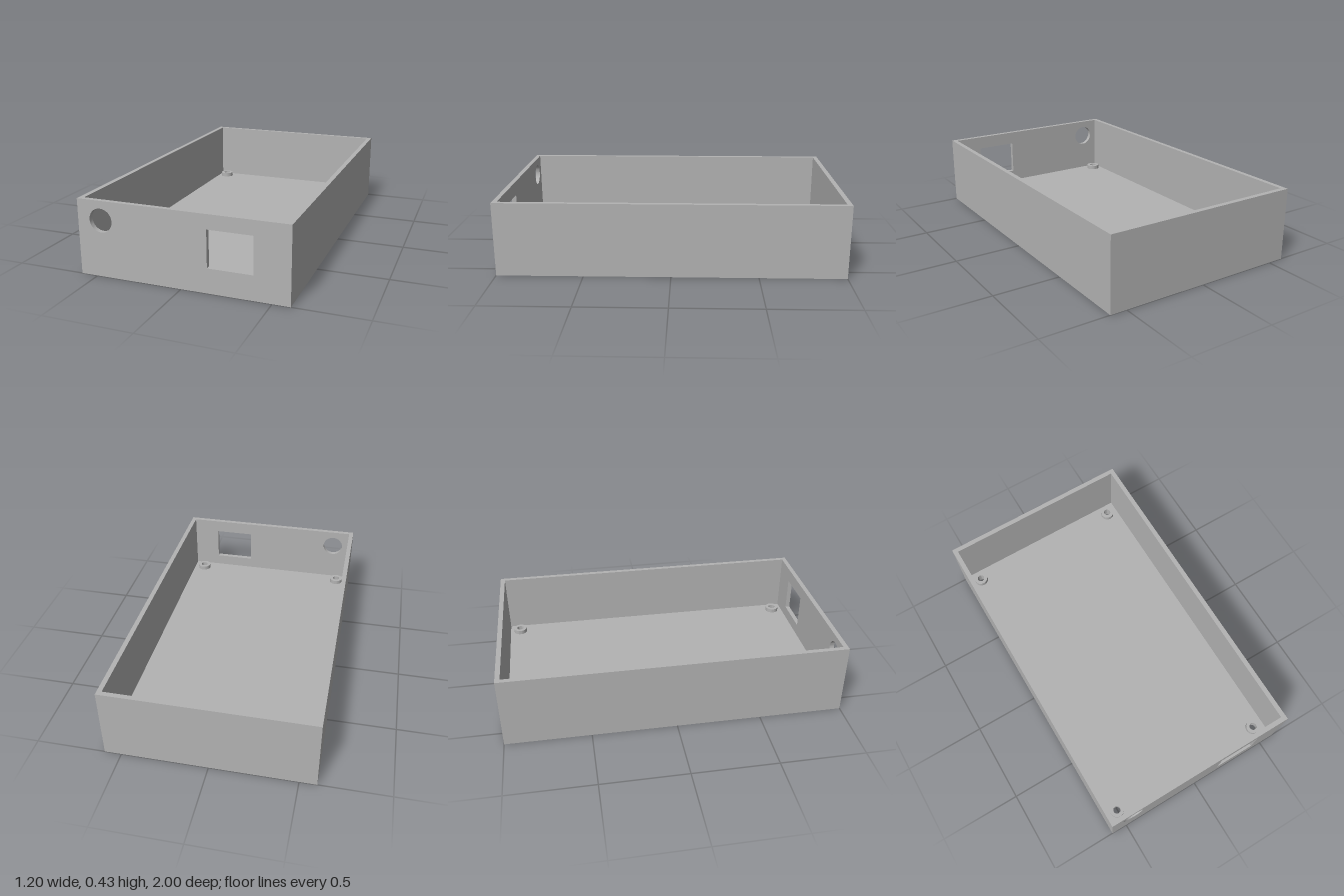
import * as THREE from 'three';
import { toCreasedNormals } from 'three/addons/utils/BufferGeometryUtils.js';

const W = 0.598, D = 1, H = 0.432;   // half width, half depth, height
const WALL = 0.028, FLOOR = 0.068;   // wall and floor thickness
const BORE = 0.037;                  // screw head recess radius
const SCREWS = [[-0.508, -0.905], [0.498, -0.905], [-0.508, 0.902], [0.498, 0.902]];

function polygon(points) {
  return new THREE.Shape(points.map(([x, y]) => new THREE.Vector2(x, y)));
}

function rect(x0, y0, x1, y1) {
  return polygon([[x0, y0], [x1, y0], [x1, y1], [x0, y1]]);
}

function circle(x, y, r) {
  return new THREE.Path().absarc(x, y, r, 0, Math.PI * 2, true);
}

function extrude(shape, depth) {
  const g = new THREE.ExtrudeGeometry(shape, { depth, bevelEnabled: false, curveSegments: 24 });
  return toCreasedNormals(g, 0.6);
}

export function createModel() {
  const group = new THREE.Group();
  const grey = new THREE.MeshStandardMaterial({ color: 0xb3b3b3 });
  grey.name = 'grey plastic';

  const add = (name, geometry) => {
    const mesh = new THREE.Mesh(geometry, grey);
    mesh.name = name;
    group.add(mesh);
    return mesh;
  };

  // Floor with four screw head recesses (shape y becomes -z)
  const floorShape = rect(-W, -D, W, D);
  for (const [x, z] of SCREWS) floorShape.holes.push(circle(x, -z, BORE));
  add('floor', extrude(floorShape, FLOOR).rotateX(-Math.PI / 2));

  // Left, back and right walls as one U-shaped rim
  const f = -D + WALL, ix = W - WALL, iz = D - WALL;
  const rim = polygon([[-W, f], [-ix, f], [-ix, iz], [ix, iz], [ix, f], [W, f], [W, D], [-W, D]]);
  add('sideAndBackWalls', extrude(rim, H - FLOOR).rotateX(-Math.PI / 2)).position.y = FLOOR;

  // Front wall with a round cable hole and a rectangular socket opening
  const front = rect(-W, FLOOR, W, H);
  front.holes.push(circle(-0.46, 0.322, 0.067), rect(0.15, 0.14, 0.402, 0.35));
  add('frontWall', extrude(front, WALL)).position.z = D - WALL;

  // Hollow screw bosses, stepped to the wider recess underneath
  const profile = [
    [BORE, FLOOR], [0.043, FLOOR], [0.043, 0.094], [0.022, 0.094], [0.022, 0.045], [BORE, 0.045],
  ].map(([r, y]) => new THREE.Vector2(r, y));
  const boss = toCreasedNormals(new THREE.LatheGeometry(profile, 40), 0.6);
  for (const [x, z] of SCREWS) add('screwBoss', boss).position.set(x, 0, z);

  return group;
}
